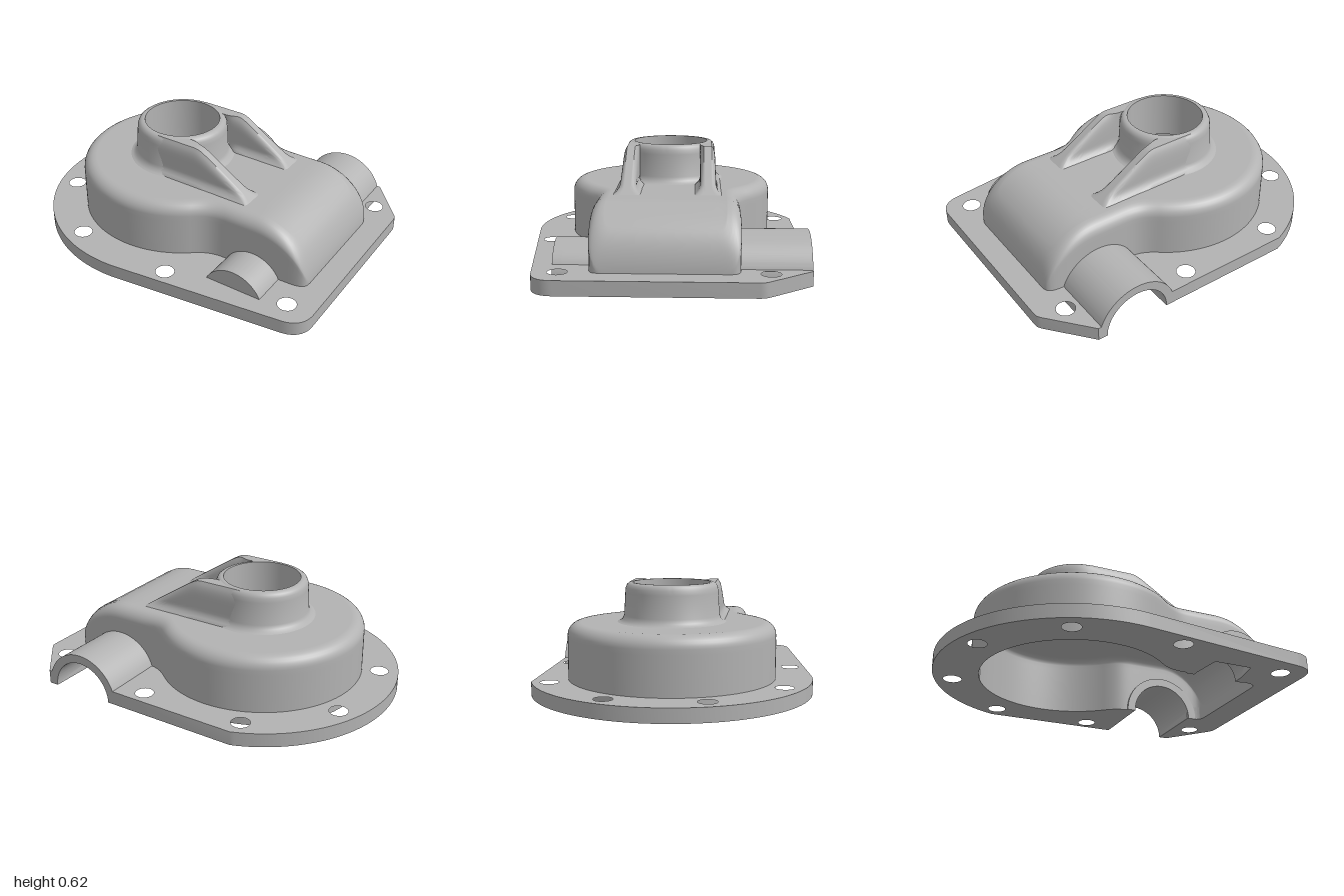
import * as THREE from 'three';
import { mergeVertices, toCreasedNormals } from 'three/addons/utils/BufferGeometryUtils.js';

const CX = -0.195, CZ = -0.025;      // bore axis
const TUBE_X = 0.54;                 // shaft axis
const WALL = 0.05;
const castMetal = new THREE.MeshStandardMaterial({ color: 0xb2b2b2 });
castMetal.name = 'castMetal';

function part(name, geometry) {
  const mesh = new THREE.Mesh(geometry, castMetal);
  mesh.name = name;
  return mesh;
}

// Radius of the housing outline (round drum blended into a box), inset by d
function outline(angle, d) {
  const c = Math.cos(angle), s = Math.abs(Math.sin(angle));
  const drum = 0.595 - d;
  if (c <= 0) return drum;
  const p = 22;
  const box = Math.pow(Math.pow(c / (1.06 - d), p) + Math.pow(s / (0.395 - d), p), -1 / p);
  const k = 0.09, h = Math.max(k - Math.abs(drum - box), 0) / k;
  return Math.max(drum, box) + h * h * k / 4;
}

// True where a shaft tube passes through the housing wall
function inTube(x, y, z) {
  const r = Math.hypot(x - TUBE_X, y);
  return (z < -0.3 && r < 0.215) || (z > 0.25 && r < 0.16);
}

// Housing skin made of rings: wall, rounded shoulder, then the top closing in on the bore
function skin(inset, top, fillet, boreRadius, inward) {
  const N = 480, rings = [], pos = [], idx = [];
  for (let i = 0; i <= 11; i++) rings.push({ d: inset, y: (top - fillet) * i / 11, t: 0 });
  for (let i = 1; i <= 7; i++) {
    const a = i / 7 * Math.PI / 2;
    rings.push({ d: inset + fillet * (1 - Math.cos(a)), y: top - fillet + fillet * Math.sin(a), t: 0 });
  }
  for (let i = 1; i <= 14; i++) rings.push({ d: inset + fillet, y: top, t: Math.pow(i / 14, 1.4) });
  const endRadius = top - 0.08;
  for (const { d, y, t } of rings) {
    for (let i = 0; i < N; i++) {
      const a = i / N * Math.PI * 2;
      const r = THREE.MathUtils.lerp(outline(a, d), boreRadius, t);
      const x = CX + r * Math.cos(a), over = Math.max(x - 0.545, 0);
      const cap = 0.08 + Math.sqrt(Math.max(endRadius ** 2 - over ** 2, 0));
      pos.push(x, y * cap / top, CZ + r * Math.sin(a));
    }
  }
  const add = (a, b, c) => {
    const mid = k => (pos[a * 3 + k] + pos[b * 3 + k] + pos[c * 3 + k]) / 3;
    if (inTube(mid(0), mid(1), mid(2))) return;
    if (inward) idx.push(a, c, b); else idx.push(a, b, c);
  };
  for (let j = 0; j < rings.length - 1; j++) {
    for (let i = 0; i < N; i++) {
      const a = j * N + i, b = j * N + (i + 1) % N;
      add(a, a + N, b);
      add(b, a + N, b + N);
    }
  }
  const g = new THREE.BufferGeometry();
  g.setAttribute('position', new THREE.Float32BufferAttribute(pos, 3));
  g.setIndex(idx);
  g.computeVertexNormals();
  return g;
}

// Flange plate: outer edge, then in through the rear channel and around the cavity
function flange() {
  const pts = [], put = (x, z) => pts.push(new THREE.Vector2(x, -z));
  const R = 0.805, deg = Math.PI / 180;
  put(0.73, -0.785); put(0.785, -0.785); put(0.985, -0.545); put(0.997, -0.525); put(1, -0.5);
  const corner = new THREE.CubicBezierCurve(
    new THREE.Vector2(1, 0.52), new THREE.Vector2(1, 0.59),
    new THREE.Vector2(0.96, 0.64), new THREE.Vector2(0.88, 0.65));
  corner.getPoints(12).forEach(p => put(p.x, p.y));
  for (let i = 0; i <= 90; i++) {
    const a = (83 + (250.8 - 83) * i / 90) * deg;
    put(CX + R * Math.cos(a), CZ + R * Math.sin(a));
  }
  put(0.35, -0.785);
  const a0 = Math.atan2(-0.345, 0.35 - CX), a1 = Math.atan2(-0.345, 0.73 - CX) - Math.PI * 2;
  for (let i = 0; i <= 400; i++) {
    const a = a0 + (a1 - a0) * i / 400, r = outline(a, WALL);
    const x = CX + r * Math.cos(a), z = CZ + r * Math.sin(a);
    put(x, z > 0 && Math.abs(x - TUBE_X) < 0.135 ? 0.52 : z);   // front bearing pocket
  }
  const shape = new THREE.Shape(pts);
  const bolts = [[-0.46, -0.68], [0.155, -0.7], [0.845, -0.565], [-0.84, -0.3],
    [-0.84, 0.235], [-0.46, 0.62], [0.155, 0.655], [0.845, 0.52]];
  for (const [x, z] of bolts) {
    shape.holes.push(new THREE.Path().absarc(x, -z, 0.052, 0, Math.PI * 2, true));
  }
  const g = new THREE.ExtrudeGeometry(shape, { depth: 0.08, bevelEnabled: false, curveSegments: 32 });
  return toCreasedNormals(g.rotateX(-Math.PI / 2), 0.5);
}

// Half tube (or half disc when inner is 0) lying along z
function halfTube(outer, inner, z0, z1) {
  const s = new THREE.Shape();
  s.absarc(0, 0, outer, 0, Math.PI, false);
  if (inner > 0) s.absarc(0, 0, inner, Math.PI, 0, true);
  s.closePath();
  const g = new THREE.ExtrudeGeometry(s, { depth: z1 - z0, bevelEnabled: false, curveSegments: 40 });
  return toCreasedNormals(g.translate(TUBE_X, 0, z0), 0.5);
}

// Raised collar around the bore
function hub() {
  const profile = [[0.325, 0.396], [0.3, 0.403], [0.282, 0.417], [0.273, 0.44], [0.266, 0.57],
    [0.263, 0.595], [0.255, 0.613], [0.243, 0.622], [0.232, 0.625], [0.22, 0.625], [0.22, 0.35]];
  const g = new THREE.LatheGeometry(profile.map(p => new THREE.Vector2(...p)), 96);
  return toCreasedNormals(g.translate(CX, 0, CZ), 0.7);
}

// Sloping rib, tangent to the collar and running down to the box
function rib(side) {
  let g = new THREE.BoxGeometry(1, 1, 1, 32, 14, 8);
  const p = g.attributes.position;
  for (let i = 0; i < p.count; i++) {
    const x = (p.getX(i) + 0.5) * 0.64, v = p.getY(i) + 0.5, w = p.getZ(i) + 0.5;
    const t = side > 0 ? w : 1 - w;
    const bend = x - 0.285;
    const top = 0.622 - 0.33 * (bend + Math.sqrt(bend * bend + 0.0008)) + 0.004;
    const y = 0.38 + (Math.min(top, 0.622) - 0.38) * v;
    const flare = 0.035 * Math.pow(Math.max(0, 1 - (y - 0.395) / 0.05), 2) * (y < 0.445 ? 1 : 0);
    const round = 0.022 * Math.pow(v, 8);
    const free = THREE.MathUtils.smoothstep(x, 0.2, 0.28);
    const inner = Math.max(0.178, Math.sqrt(Math.max(0.24 ** 2 - x * x, 0)))
      + free * (round - Math.min(flare, 0.035));
    const outer = 0.268 + Math.min(flare, 0.035) - round;
    p.setXYZ(i, CX + x, y, CZ + side * THREE.MathUtils.lerp(inner, outer, t));
  }
  g.deleteAttribute('normal');
  g.deleteAttribute('uv');
  g = mergeVertices(g, 1e-4);
  return toCreasedNormals(g, 0.8);
}

export function createModel() {
  const model = new THREE.Group();
  model.name = 'gearHousingCover';
  model.add(
    part('flange', flange()),
    part('housingOuter', skin(0, 0.4, 0.07, 0.235, false)),
    part('housingInner', skin(WALL, 0.35, 0.04, 0.22, true)),
    part('boreCollar', hub()),
    part('frontRib', rib(1)),
    part('backRib', rib(-1)),
    part('backShaftTube', halfTube(0.24, 0.19, -0.785, -0.36)),
    part('frontBearingTube', halfTube(0.185, 0.135, 0.31, 0.52)),
    part('frontBearingEnd', halfTube(0.185, 0, 0.52, 0.57)));
  return model;
}
